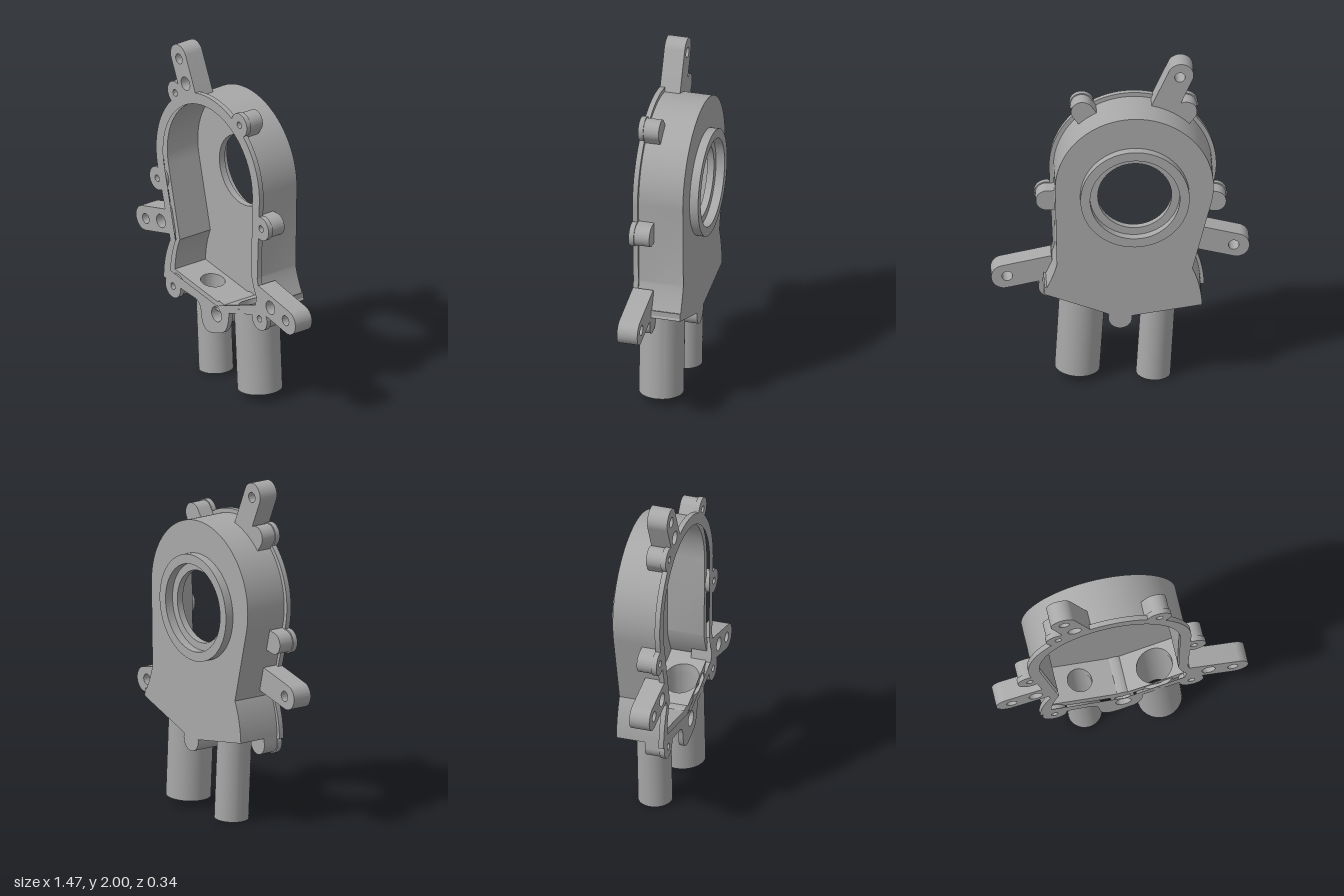
import * as THREE from 'three';
import { toCreasedNormals } from 'three/addons/utils/BufferGeometryUtils.js';

const CX = -0.075, CY = 1.295;          // centre of the rounded top
const HX = -0.077, HY = 1.245;          // centre of the shaft opening
const FRONT = 0.17, FLANGE = 0.14, LUG_BACK = 0.05, BACK = -0.12;

export function createModel() {
  const model = new THREE.Group();
  model.name = 'housingCover';
  const grey = new THREE.MeshStandardMaterial({ color: 0xa8a8a8 });
  grey.name = 'castGrey';

  const add = (name, geometry) => {
    const mesh = new THREE.Mesh(toCreasedNormals(geometry, 0.5), grey);
    mesh.name = name;
    model.add(mesh);
    return mesh;
  };
  // Extrude a shape between two z positions
  const slab = (name, shape, z0, z1) => {
    const g = new THREE.ExtrudeGeometry(shape, { depth: z1 - z0, bevelEnabled: false, curveSegments: 32 });
    return add(name, g.translate(0, 0, z0));
  };
  const circle = (x, y, r, Type = THREE.Path) => new Type().absarc(x, y, r, 0, Math.PI * 2, false);

  // Open outline: left corner, up the side, over the arch, down to the right corner
  const outline = (r, lc, lCtl, lNeck, rNeck, rCtl, rc) => {
    const p = new THREE.Path();
    p.moveTo(...lc);
    p.quadraticCurveTo(...lCtl, ...lNeck);
    p.absarc(CX, CY, r, Math.PI + 0.24, 0, true);
    p.lineTo(...rNeck);
    p.quadraticCurveTo(...rCtl, ...rc);
    return p.getPoints(36);
  };
  const inner = outline(0.41, [-0.415, 0.57], [-0.41, 0.68], [-0.37, 0.77],
    [0.325, 0.81], [0.34, 0.73], [0.395, 0.645]);
  const outer = outline(0.45, [-0.46, 0.522], [-0.455, 0.65], [-0.405, 0.76],
    [0.365, 0.80], [0.38, 0.73], [0.44, 0.615]);
  const rim = outline(0.475, [-0.48, 0.51], [-0.48, 0.64], [-0.42, 0.76],
    [0.38, 0.80], [0.395, 0.73], [0.44, 0.615]);
  const V = (x, y) => new THREE.Vector2(x, y);

  // Side wall, open along the floor
  slab('sideWall', new THREE.Shape([...outer, ...[...inner].reverse()]), BACK, FLANGE);

  // Back wall with shaft opening
  const back = new THREE.Shape([...outer, V(0.01, 0.447)]);
  back.holes.push(circle(HX, HY, 0.21));
  slab('backWall', back, BACK, -0.08);

  // Raised ring around the opening
  const ring = circle(HX, HY, 0.31, THREE.Shape);
  ring.holes.push(circle(HX, HY, 0.255));
  slab('bearingRing', ring, -0.17, BACK);

  // Front flange with the drooping tab at the bottom
  const tab = new THREE.Path();
  tab.moveTo(0.325, 0.56);
  tab.lineTo(0.12, 0.495);
  tab.quadraticCurveTo(0.115, 0.37, 0.05, 0.348);
  tab.lineTo(-0.03, 0.32);
  tab.quadraticCurveTo(-0.125, 0.295, -0.135, 0.40);
  tab.quadraticCurveTo(-0.14, 0.47, -0.19, 0.478);
  tab.lineTo(-0.31, 0.49);
  const flange = new THREE.Shape([...rim, ...tab.getPoints(12)]);
  flange.holes.push(new THREE.Path([...inner, V(0.01, 0.502)]), circle(0.005, 0.447, 0.045));
  slab('frontFlange', flange, FLANGE, FRONT);

  // Pin boss running behind the tab
  slab('pinBoss', circle(0.005, 0.447, 0.068, THREE.Shape), BACK, 0.08);
  const socket = circle(0.005, 0.447, 0.068, THREE.Shape);
  socket.holes.push(circle(0.005, 0.447, 0.045));
  slab('pinSocket', socket, 0.08, FLANGE);

  // Sloping floors, each with a pipe below
  const sides = [
    { name: 'left', x0: 0.01, x1: 0.435, y: 0.498, slope: 0.37, t: 0.048,
      ro: 0.128, ri: 0.102, z: 0.043, top: 0.213, bottom: 0.243, y0: 0.045 },
    { name: 'right', x0: -0.455, x1: 0.01, y: 0.502, slope: -0.162, t: 0.055,
      ro: 0.098, ri: 0.07, z: 0.022, top: -0.217, bottom: -0.187, y0: 0.007 },
  ];
  for (const s of sides) {
    const floorY = (x) => s.y + s.slope * (x - 0.01);

    const plate = new THREE.Shape([V(s.x0, -FLANGE), V(s.x1, -FLANGE), V(s.x1, -BACK), V(s.x0, -BACK)]);
    plate.holes.push(circle(s.top, -s.z, s.ri));
    const g = new THREE.ExtrudeGeometry(plate, { depth: s.t, bevelEnabled: false, curveSegments: 24 });
    g.rotateX(-Math.PI / 2);
    const p = g.attributes.position;
    for (let i = 0; i < p.count; i++) p.setY(i, p.getY(i) + floorY(p.getX(i)) - s.t);
    add(s.name + 'Floor', g);

    // Slightly tilted pipe whose top follows the floor slope
    const profile = [V(s.ri, 0), V(s.ro, 0), V(s.ro, 1), V(s.ri, 1), V(s.ri, 0)];
    const pipe = new THREE.LatheGeometry(profile, 48);
    const q = pipe.attributes.position;
    for (let i = 0; i < q.count; i++) {
      const v = q.getY(i), dx = q.getX(i);
      const x = dx + THREE.MathUtils.lerp(s.bottom, s.top, v);
      const y = THREE.MathUtils.lerp(s.y0 + 0.06 * dx, floorY(x) - 0.02, v);
      q.setXYZ(i, x, y, q.getZ(i) + s.z);
    }
    add(s.name + 'Pipe', pipe);
  }

  // Round-ended bar from a tip towards the body
  const bar = (x, y, dx, dy, length, r) => {
    const a = Math.atan2(dy, dx);
    const s = new THREE.Shape();
    s.absarc(x, y, r, a + Math.PI / 2, a + Math.PI * 1.5, false);
    const ex = x + Math.cos(a) * length, ey = y + Math.sin(a) * length;
    s.lineTo(ex + Math.sin(a) * r, ey - Math.cos(a) * r);
    s.lineTo(ex - Math.sin(a) * r, ey + Math.cos(a) * r);
    s.closePath();
    return s;
  };

  // Screw lugs: blind-holed disc on the flange, boss behind it
  const lugs = [
    [-0.375, 1.69, 0.3, -0.395, 0.07], [0.215, 1.70, -0.29, -0.405, 0.07],
    [-0.54, 1.10, 1, 0.2, 0.07], [0.415, 1.125, -1, 0, 0.06],
    [-0.395, 0.48, 0.1, 1, 0.06], [0.40, 0.56, -0.1, 1, 0.05],
  ];
  for (const [x, y, dx, dy, length] of lugs) {
    const disc = circle(x, y, 0.07, THREE.Shape);
    disc.holes.push(circle(x, y, 0.02));
    slab('screwLug', disc, FLANGE, FRONT);
    slab('screwBoss', bar(x, y, dx, dy, length, 0.063), LUG_BACK, FLANGE);
  }

  // Mounting arms: through hole near the tip, blind hole nearer the body
  const arms = [
    { tip: [-0.345, 1.927, 0.406, -0.914, 0.25], hole: [-0.34, 1.915], blind: [-0.28, 1.782] },
    { tip: [-0.662, 0.81, 0.97, 0.243, 0.245], hole: [-0.645, 0.812], blind: [-0.506, 0.846] },
    { tip: [0.658, 0.63, -0.978, 0.21, 0.29], hole: [0.64, 0.634], blind: [0.50, 0.665] },
  ];
  for (const { tip, hole, blind } of arms) {
    const rear = bar(...tip, 0.073), front = bar(...tip, 0.073);
    rear.holes.push(circle(...hole, 0.03));
    front.holes.push(circle(...hole, 0.03), circle(...blind, 0.04));
    slab('mountingArmRear', rear, LUG_BACK, 0.09);
    slab('mountingArmFront', front, 0.09, FRONT);
  }

  return model;
}
